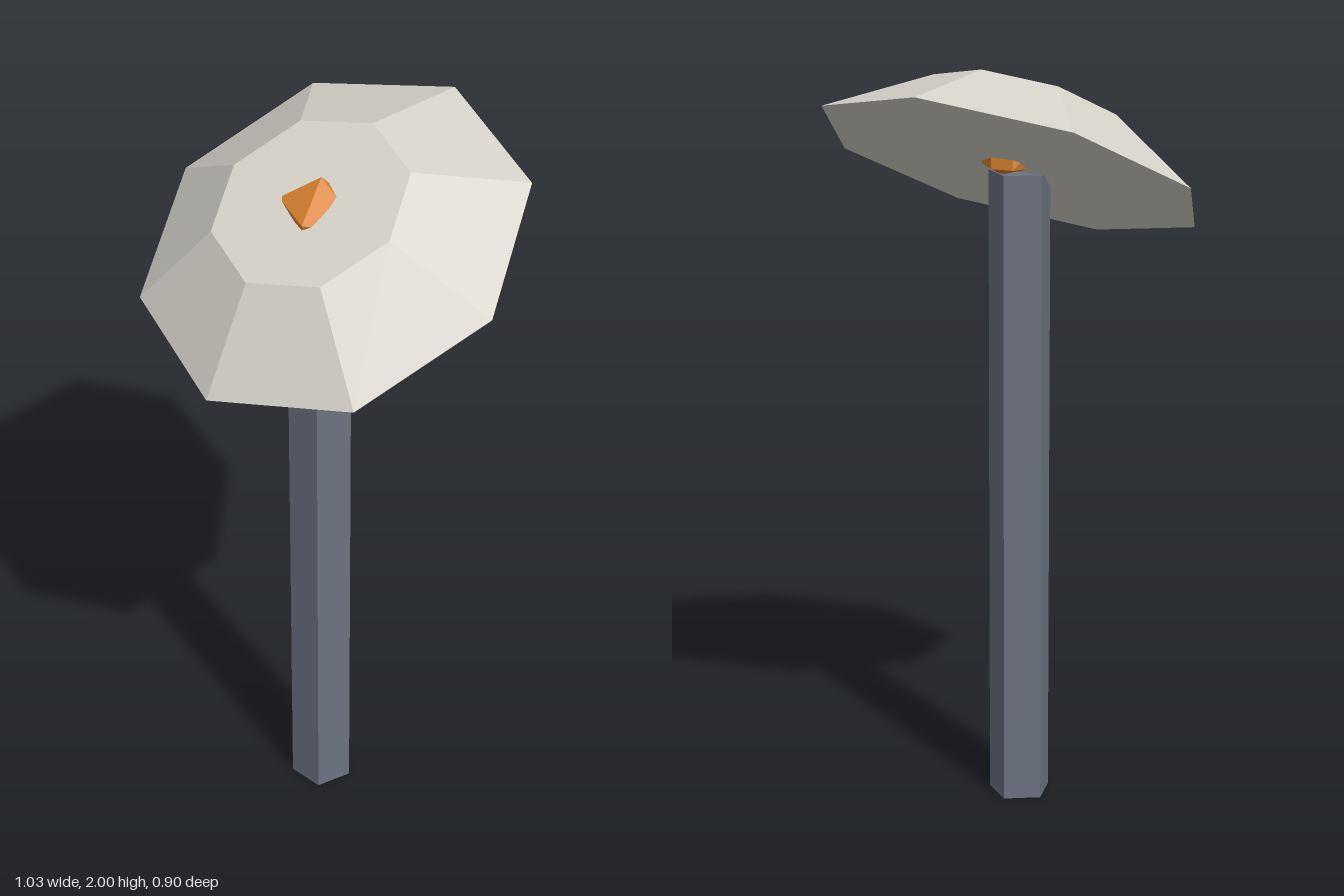
import * as THREE from 'three';
import { ConvexGeometry } from 'three/addons/geometries/ConvexGeometry.js';

const flat = (name, color) => {
  const material = new THREE.MeshStandardMaterial({ color, flatShading: true });
  material.name = name;
  return material;
};

export function createModel() {
  const steel = flat('slate grey', 0x6b7280);
  const pale = flat('pale stone', 0xd6d3ca);
  const orange = flat('orange', 0xd9822f);

  const model = new THREE.Group();
  const add = (name, geometry, material, x, y, z) => {
    const mesh = new THREE.Mesh(geometry, material);
    mesh.name = name;
    mesh.position.set(x, y, z);
    model.add(mesh);
    return mesh;
  };

  // Five-sided pole with one flat side to the front
  const poleHeight = 1.715;
  add('pole', new THREE.CylinderGeometry(0.084, 0.084, poleHeight, 5), steel, 0, poleHeight / 2, 0.044)
    .rotation.y = Math.PI;

  // Eight-sided dish, tipped towards the front
  const tilt = 0.499;
  const dishHeight = 0.168;
  add('dish', new THREE.CylinderGeometry(0.257, 0.513, dishHeight, 8), pale,
    0, 1.73 + Math.cos(tilt) * dishHeight / 2, Math.sin(tilt) * dishHeight / 2)
    .rotation.x = tilt;

  // Rough crystal set through the middle of the dish
  const corners = [
    [0, 1.93, 0.04], [-0.086, 1.864, 0.1], [0.037, 1.857, 0.149], [0.066, 1.89, 0.044],
    [0.062, 1.845, 0.115], [-0.07, 1.83, 0.11], [0.03, 1.82, 0.14],
    [-0.03, 1.83, -0.05], [0.035, 1.83, -0.05],
    [0.07, 1.74, -0.03], [-0.045, 1.737, -0.066], [0.02, 1.735, -0.066],
    [0.03, 1.709, 0], [-0.05, 1.73, 0.02],
  ];
  add('crystal', new ConvexGeometry(corners.map((c) => new THREE.Vector3(...c))), orange, 0, 0, 0);

  return model;
}
